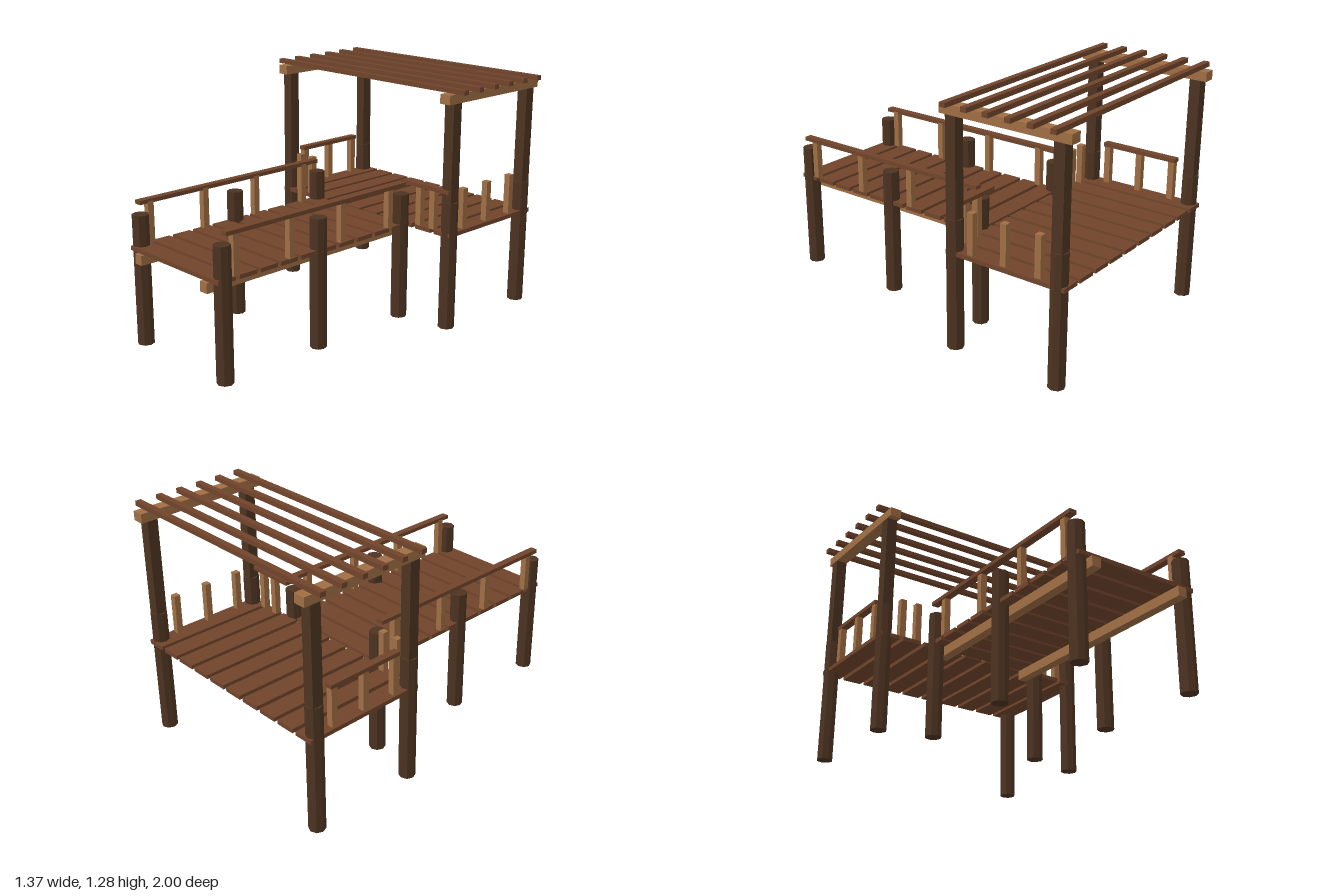
import * as THREE from 'three';

const mat = (name, color) => {
  const m = new THREE.MeshStandardMaterial({ color });
  m.name = name;
  return m;
};

export function createModel() {
  const model = new THREE.Group();
  model.name = 'pierWithPergola';
  const plankWood = mat('reddishPlankWood', 0x70442b);
  const lightWood = mat('lightBeamWood', 0xa06e44);
  const postWood = mat('darkPostWood', 0x4d3321);
  postWood.flatShading = true;

  const add = (name, geo, material, x, y, z) => {
    const mesh = new THREE.Mesh(geo, material);
    mesh.name = name;
    mesh.position.set(x, y, z);
    model.add(mesh);
  };
  // Box given by its centre in x and z and its bottom and top heights
  const box = (name, material, x, z, w, d, y0, y1) =>
    add(name, new THREE.BoxGeometry(w, y1 - y0, d), material, x, (y0 + y1) / 2, z);
  // Eight-sided pile standing on the ground
  const pile = (name, x, z) =>
    add(name, new THREE.CylinderGeometry(0.043, 0.043, 0.69, 8), postWood, x, 0.345, z);
  const baluster = (x, z) => box('baluster', lightWood, x, z, 0.034, 0.034, 0.528, 0.745);
  const rail = (name, x, z, w, d) => box(name, plankWood, x, z, w, d, 0.736, 0.757);

  // Planks: crosswise on the walkway, lengthwise on the platform
  for (let i = 0; i < 10; i++) {
    box('walkwayPlank', plankWood, 0, -0.231 + i * 0.129, 0.694, 0.106, 0.507, 0.529);
    box('platformPlank', plankWood, -0.58 + i * 0.129, -0.642, 0.106, 0.684, 0.507, 0.529);
  }

  for (const s of [-1, 1]) {
    // Walkway: bearer, piles, handrail and balusters
    box('walkwayBearer', lightWood, s * 0.26, 0.35, 0.05, 1.3, 0.455, 0.507);
    for (const z of [0.935, 0.331, -0.27]) pile('walkwayPile', s * 0.322, z);
    rail('walkwayRail', s * 0.337, 0.334, 0.04, 1.206);
    for (let i = 0; i < 4; i++) baluster(s * 0.333, 0.873 - i * 0.345);

    // Platform: piles carrying square pergola posts
    for (const z of [-0.335, -0.937]) {
      pile('platformPile', s * 0.604, z);
      box('pergolaPost', postWood, s * 0.604, z, 0.059, 0.059, 0.6, 1.207);
    }
    box('pergolaBeam', lightWood, s * 0.603, -0.635, 0.064, 0.73, 1.207, 1.256);

    // Platform balusters along the sides and the front
    for (const z of [-0.438, -0.633, -0.828]) baluster(s * 0.604, z);
    for (const x of [0.415, 0.508]) baluster(s * x, -0.32);
  }

  // Platform handrails: right side and left half of the front only
  rail('platformSideRail', -0.604, -0.633, 0.04, 0.434);
  rail('platformFrontRail', 0.461, -0.319, 0.322, 0.04);

  // Pergola slats
  for (let i = 0; i < 6; i++)
    box('pergolaSlat', plankWood, 0, -0.334 - i * 0.121, 1.372, 0.032, 1.256, 1.281);

  return model;
}
